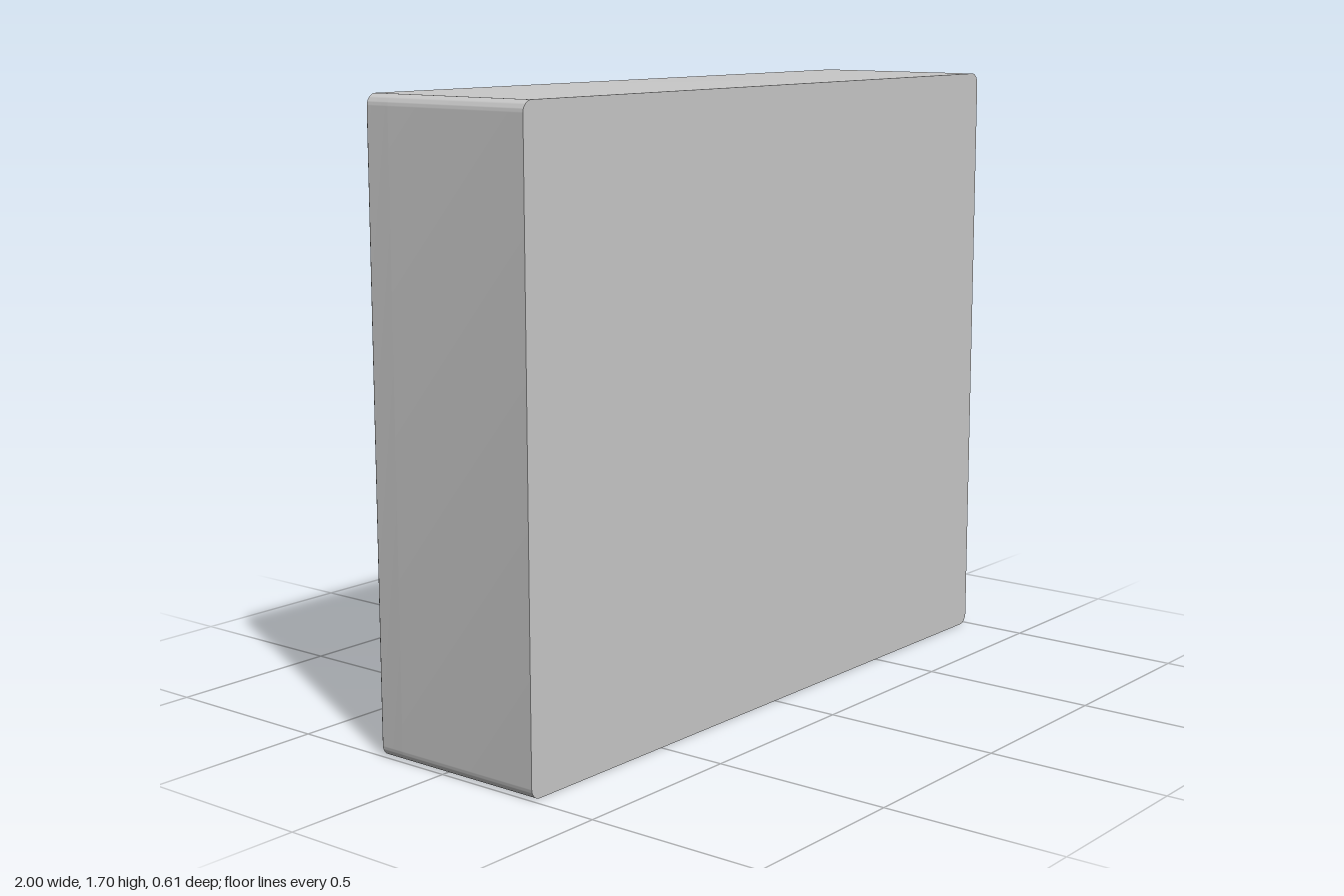
import * as THREE from 'three';
import { toCreasedNormals } from 'three/addons/utils/BufferGeometryUtils.js';

// Trace a rounded rectangle, centred on (cx, cy)
function roundedRect(path, w, h, r, cx = 0, cy = 0) {
  const x = w / 2, y = h / 2, q = Math.PI / 2;
  path.moveTo(cx + x, cy - y + r);
  path.absarc(cx + x - r, cy + y - r, r, 0, q);
  path.absarc(cx - x + r, cy + y - r, r, q, 2 * q);
  path.absarc(cx - x + r, cy - y + r, r, 2 * q, 3 * q);
  path.absarc(cx + x - r, cy - y + r, r, 3 * q, 4 * q);
  path.closePath();
  return path;
}

// Rounded slab between z0 and z1, optionally chamfered or pierced
function slab(w, h, r, cy, z0, z1, { bevel = 0, hole = null } = {}) {
  const shape = roundedRect(new THREE.Shape(), w, h, r, 0, cy);
  if (hole) shape.holes.push(roundedRect(new THREE.Path(), ...hole));
  const geo = new THREE.ExtrudeGeometry(shape, {
    depth: z1 - z0 - 2 * bevel, curveSegments: 8,
    bevelEnabled: bevel > 0, bevelSize: bevel, bevelThickness: bevel,
    bevelOffset: -bevel, bevelSegments: 1,
  });
  geo.translate(0, 0, z0 + bevel);
  return toCreasedNormals(geo, 0.4);
}

export function createModel() {
  const model = new THREE.Group();
  model.name = 'panelMonitor';
  const grey = new THREE.MeshStandardMaterial({ color: 0xc8c8c8 });
  grey.name = 'casing grey';

  const add = (name, geo, parent = model) => {
    const mesh = new THREE.Mesh(geo, grey);
    mesh.name = name;
    parent.add(mesh);
    return mesh;
  };

  const midY = 0.85;
  const screenZ = -0.142;
  const opening = [1.72, 1.33, 0.05, 0, 0.935];

  // Casing: solid block whose far face is the recessed screen
  add('casing', slab(2, 1.7, 0.03, midY, screenZ, 0.305));
  add('casingRim', slab(2, 1.7, 0.03, midY, -0.214, screenZ, { hole: opening }));

  // Bezel with a stepped edge, on a slightly inset gasket
  add('gasket', slab(1.96, 1.66, 0.03, midY, -0.218, -0.214, { hole: opening }));
  add('bezelEdge', slab(1.98, 1.68, 0.03, midY, -0.225, -0.218, { hole: opening }));
  add('bezelFace', slab(1.972, 1.672, 0.027, midY, -0.229, -0.225, { hole: opening }));

  // Corner screws with a domed head
  const headProfile = [[0.021, -0.003], [0.021, 0.002], [0.017, 0.006], [0, 0.008]]
    .map(([x, y]) => new THREE.Vector2(x, y));
  const headGeo = new THREE.LatheGeometry(headProfile, 20);
  headGeo.rotateX(-Math.PI / 2);
  for (const x of [-0.935, 0.935]) {
    for (const y of [0.05, 1.65]) {
      add('screw', headGeo).position.set(x, y, -0.229);
    }
  }

  // Row of ten keys: square base with a smaller tapered cap
  const baseGeo = slab(0.123, 0.115, 0.01, 0, -0.278, -0.22, { bevel: 0.003 });
  const capGeo = slab(0.112, 0.104, 0.01, 0, -0.305, -0.26, { bevel: 0.006 });
  for (let i = 0; i < 10; i++) {
    const key = new THREE.Group();
    key.name = 'key';
    add('keyBase', baseGeo, key);
    add('keyCap', capGeo, key);
    key.position.set(-0.72 + i * 0.16, 0.107, 0);
    model.add(key);
  }

  return model;
}
